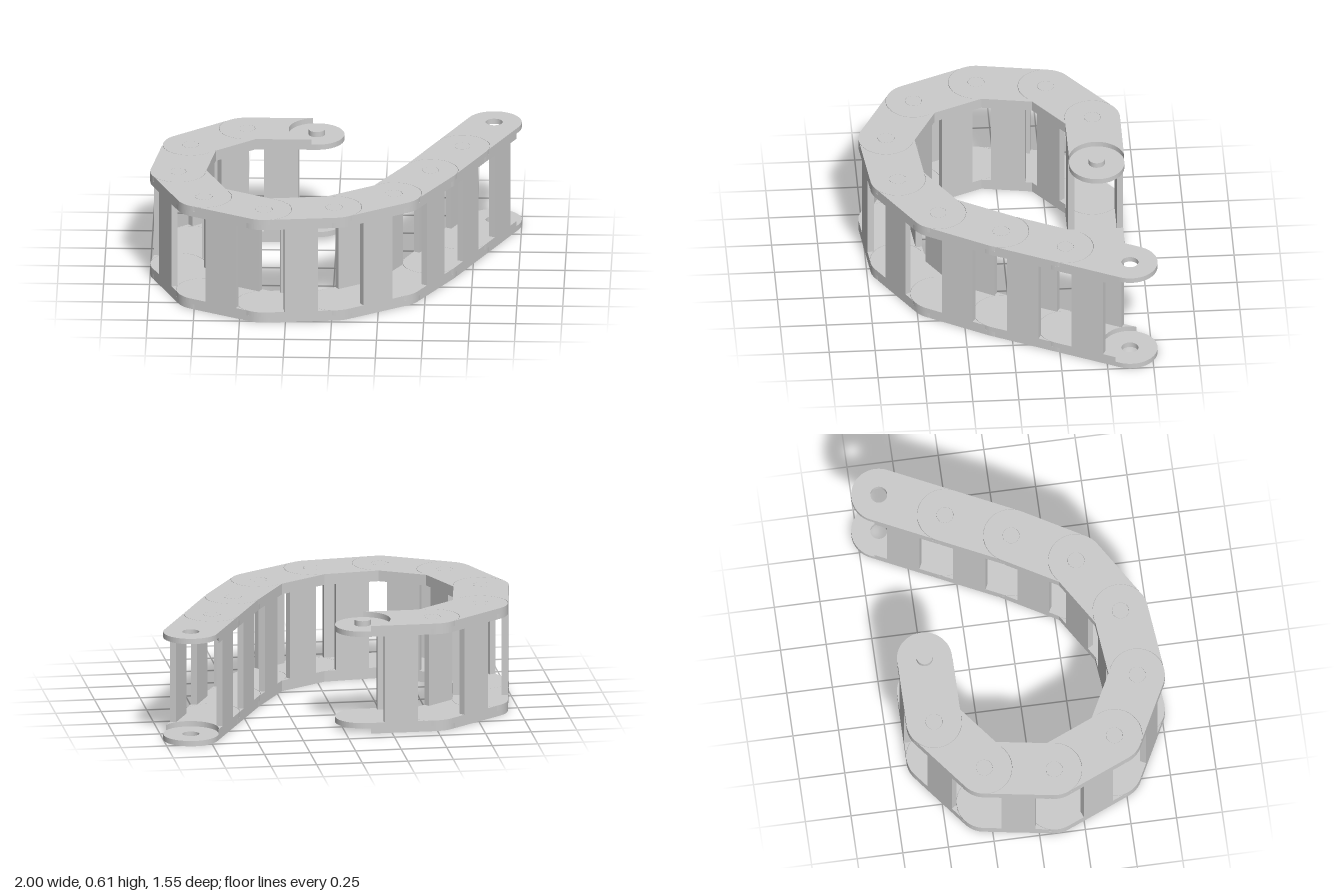
import * as THREE from 'three';

// Joint positions (x, z) along the chain, from the pin end to the eyelet end
const JOINTS = [
  [-0.11, -0.51], [-0.49, -0.51], [-0.79, -0.275], [-0.85, 0.1], [-0.7, 0.45], [-0.37, 0.62],
  [0.01, 0.58], [0.33, 0.38], [0.52, 0.05], [0.685, -0.29], [0.85, -0.63],
];
const R = 0.15;         // half width of a link
const POCKET = 0.152;   // hollow that receives the neighbour's rounded end
const HOLE = 0.046;
const LAYER = 0.03;     // each side plate is two half-lapped layers
const HEIGHT = 0.605;
const WALL_T = 0.035;
const WALL_W = 0.185;

const material = new THREE.MeshStandardMaterial({ color: 0xcccccc });

function part(name, geometry, x = 0, y = 0, z = 0) {
  const mesh = new THREE.Mesh(geometry, material);
  mesh.name = name;
  mesh.position.set(x, y, z);
  return mesh;
}

// Layer with a hollow around x = 0 and a rounded end around x = length
function layerGeometry(length, withHole) {
  const x0 = Math.sqrt(POCKET * POCKET - R * R);
  const a = Math.atan2(R, x0);
  const shape = new THREE.Shape();
  shape.moveTo(x0, -R);
  shape.lineTo(length, -R);
  shape.absarc(length, 0, R, -Math.PI / 2, Math.PI / 2, false);
  shape.lineTo(x0, R);
  shape.absarc(0, 0, POCKET, a, -a, true);
  if (withHole) {
    const hole = new THREE.Path();
    hole.absarc(length, 0, HOLE, 0, Math.PI * 2, true);
    shape.holes.push(hole);
  }
  const geometry = new THREE.ExtrudeGeometry(shape, { depth: LAYER, bevelEnabled: false, curveSegments: 24 });
  return geometry.rotateX(-Math.PI / 2);
}

// One link: pin at x = 0, eyelet at x = length
function createLink(length) {
  const link = new THREE.Group();
  const eyelet = layerGeometry(length, true);
  const tongue = layerGeometry(length, false).rotateY(Math.PI).translate(length, 0, 0);
  const pin = new THREE.CylinderGeometry(0.045, 0.045, LAYER, 32);

  // Outer eyelet layers, inner tongue layers and pins, top and bottom
  link.add(
    part('bottomEyeletPlate', eyelet, 0, 0),
    part('topEyeletPlate', eyelet, 0, HEIGHT - LAYER),
    part('bottomTonguePlate', tongue, 0, LAYER),
    part('topTonguePlate', tongue, 0, HEIGHT - 2 * LAYER),
    part('bottomPin', pin, 0, LAYER / 2),
    part('topPin', pin, 0, HEIGHT - LAYER / 2),
  );

  // Upright walls joining the plates on both edges
  const wall = new THREE.BoxGeometry(WALL_W, HEIGHT - 4 * LAYER, WALL_T);
  for (const side of [-1, 1]) {
    link.add(part(side > 0 ? 'outerWall' : 'innerWall', wall, length / 2, HEIGHT / 2, side * (R - WALL_T / 2)));
  }
  return link;
}

export function createModel() {
  const model = new THREE.Group();
  model.name = 'cableChain';
  for (let i = 0; i < JOINTS.length - 1; i++) {
    const [x, z] = JOINTS[i];
    const dx = JOINTS[i + 1][0] - x;
    const dz = JOINTS[i + 1][1] - z;
    const link = createLink(Math.hypot(dx, dz));
    link.name = `link${i + 1}`;
    link.position.set(x, 0, z);
    link.rotation.y = Math.atan2(-dz, dx);
    model.add(link);
  }
  return model;
}
